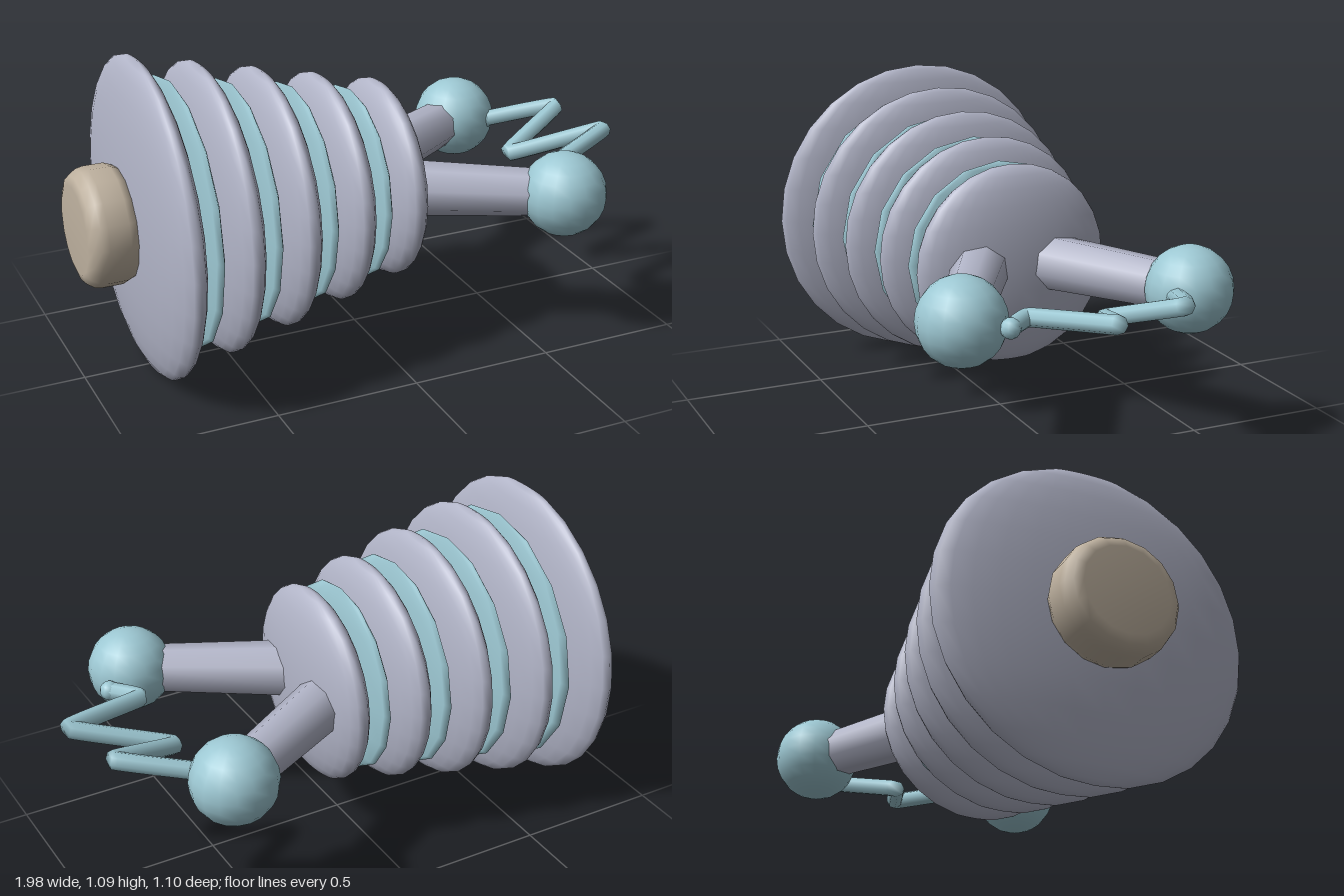
import * as THREE from 'three';

const AXIS_Y = 0.553;

export function createModel() {
  const group = new THREE.Group();
  const paint = (name, color) => Object.assign(new THREE.MeshStandardMaterial({ color }), { name });
  const grey = paint('lavender grey', 0xb2b5c8);
  const blue = paint('pale blue', 0x9dc8d3);
  const tan = paint('tan', 0xbeb19f);

  const add = (name, geometry, material, x = 0, y = AXIS_Y, z = 0) => {
    const mesh = new THREE.Mesh(geometry, material);
    mesh.name = name;
    mesh.position.set(x, y, z);
    group.add(mesh);
    return mesh;
  };

  // flattened discs stacked along x, shrinking towards the prongs
  for (let i = 0; i < 5; i++) {
    const r = 0.547 - i * 0.05;
    add('insulatorDisc', new THREE.SphereGeometry(1, 28, 14).scale(0.089, r, r), grey, -0.76 + i * 0.2125);
  }
  // thin spacers between the discs
  for (let i = 0; i < 4; i++) {
    const r = 0.462 - i * 0.042;
    add('spacerDisc', new THREE.SphereGeometry(1, 16, 8).scale(0.034, r, r), blue, -0.653 + i * 0.2125);
  }

  // rounded plug at the back end
  const profile = [[0, -0.09], [0.15, -0.09], [0.18, -0.08], [0.197, -0.055], [0.202, -0.03],
    [0.202, 0.04], [0.19, 0.07], [0.15, 0.09], [0, 0.09]].map(([r, h]) => new THREE.Vector2(r, h));
  add('basePlug', new THREE.LatheGeometry(profile, 16).rotateZ(-Math.PI / 2), tan, -0.91);

  // two splayed prongs with a ball on each
  for (const side of [1, -1]) {
    const start = new THREE.Vector3(0.08, AXIS_Y, 0.105 * side);
    const end = new THREE.Vector3(0.6, AXIS_Y, 0.403 * side);
    const dir = end.clone().sub(start);
    const prong = add('prong', new THREE.CylinderGeometry(0.08, 0.099, dir.length(), 8), grey);
    prong.position.copy(start).addScaledVector(dir, 0.5);
    prong.quaternion.setFromUnitVectors(new THREE.Vector3(0, 1, 0), dir.normalize());
    add('prongBall', new THREE.SphereGeometry(0.147, 16, 12), blue, 0.6, AXIS_Y, 0.403 * side);
  }

  // zigzag spark between the balls
  const points = [[0.68, 0.56, -0.31], [0.922, 0.615, -0.195], [0.65, 0.515, -0.07],
    [0.968, 0.605, 0.06], [0.652, 0.553, 0.2], [0.725, 0.553, 0.295]].map((p) => new THREE.Vector3(...p));
  const path = new THREE.CatmullRomCurve3(points, false, 'catmullrom', 0.15);
  add('spark', new THREE.TubeGeometry(path, 100, 0.031, 8), blue, 0, 0);
  for (const p of [points[0], points[5]]) {
    add('sparkEnd', new THREE.SphereGeometry(0.034, 10, 8), blue, p.x, p.y, p.z);
  }

  return group;
}
